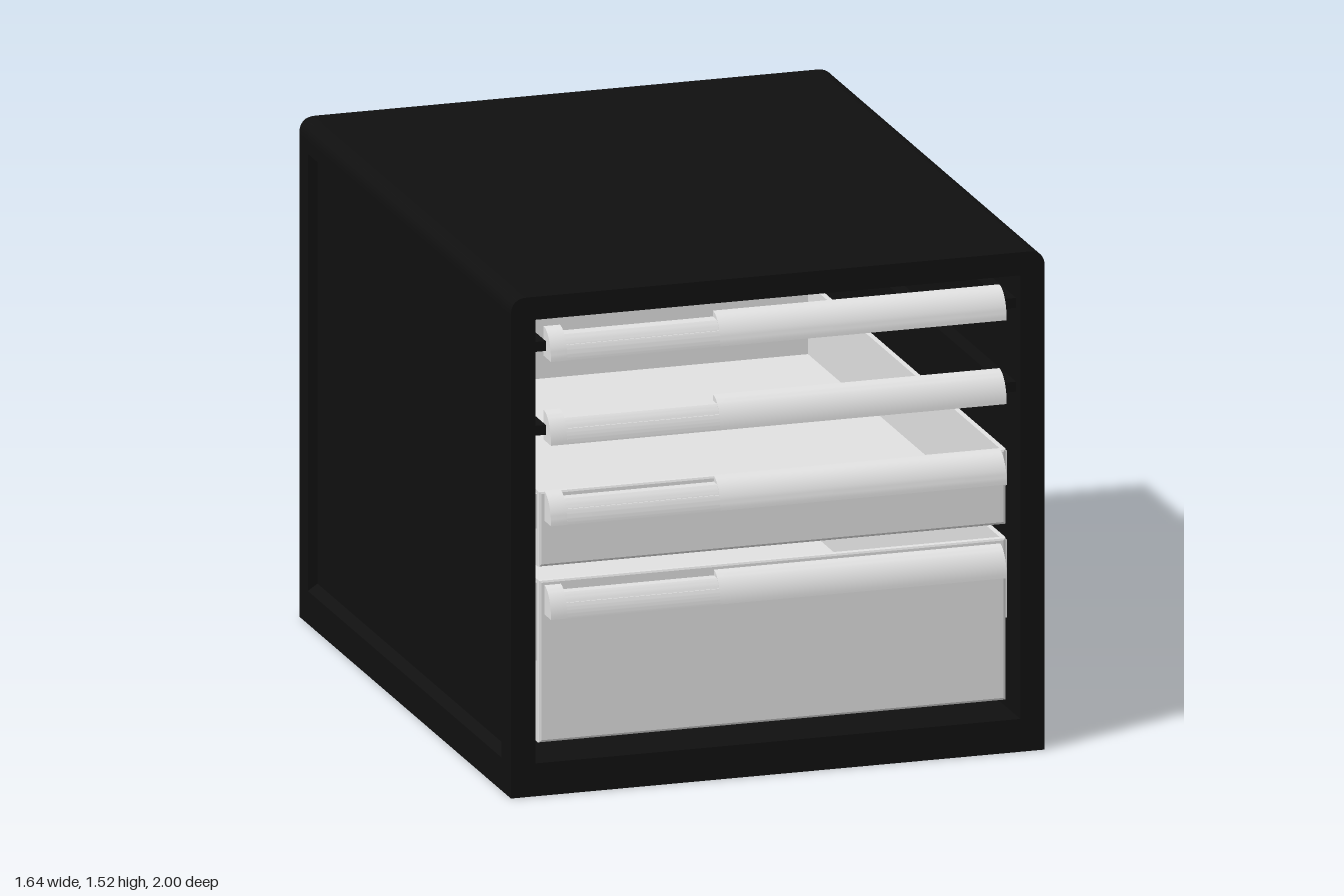
import * as THREE from 'three';
import { toCreasedNormals } from 'three/addons/utils/BufferGeometryUtils.js';

export function createModel() {
  const model = new THREE.Group();
  model.name = 'drawerCabinet';
  const black = new THREE.MeshStandardMaterial({ color: 0x101010, name: 'black' });
  const lightGrey = new THREE.MeshStandardMaterial({ color: 0xe2e2e2, name: 'lightGrey' });

  function add(parent, name, geometry, material) {
    const mesh = new THREE.Mesh(geometry, material);
    mesh.name = name;
    parent.add(mesh);
    return mesh;
  }
  // Box given by its lower and upper limits
  function box(parent, name, x0, x1, y0, y1, z0, z1, material) {
    const g = new THREE.BoxGeometry(x1 - x0, y1 - y0, z1 - z0);
    g.translate((x0 + x1) / 2, (y0 + y1) / 2, (z0 + z1) / 2);
    return add(parent, name, g, material);
  }
  function rectangle(path, x, y0, y1) {
    path.moveTo(-x, y0);
    path.lineTo(x, y0);
    path.lineTo(x, y1);
    path.lineTo(-x, y1);
    path.closePath();
    return path;
  }

  // Casing: rounded top corners, open front, recessed side panels
  const W = 0.82, H = 1.52, R = 0.05;
  function casing(name, z0, z1, inset, open) {
    const s = new THREE.Shape();
    s.moveTo(-W, 0);
    s.lineTo(W, 0);
    if (inset) {
      s.lineTo(W, 0.1);
      s.lineTo(W - inset, 0.12);
      s.lineTo(W - inset, 1.41);
      s.lineTo(W, 1.43);
    }
    s.lineTo(W, H - R);
    s.quadraticCurveTo(W, H, W - R, H);
    s.lineTo(-W + R, H);
    s.quadraticCurveTo(-W, H, -W, H - R);
    if (inset) {
      s.lineTo(-W, 1.43);
      s.lineTo(-W + inset, 1.41);
      s.lineTo(-W + inset, 0.12);
      s.lineTo(-W, 0.1);
    }
    s.closePath();
    if (open) s.holes.push(rectangle(new THREE.Path(), 0.745, 0.1, 1.45));
    const g = new THREE.ExtrudeGeometry(s, { depth: z1 - z0, bevelEnabled: false, curveSegments: 8 });
    g.translate(0, 0, z0);
    add(model, name, toCreasedNormals(g, 0.5), black);
  }
  casing('frontFrame', 0.9, 0.99, 0, true);
  casing('casingBody', -0.92, 0.9, 0.03, true);
  casing('backPanel', -1, -0.92, 0, false);

  // Quarter-round bar, cut off at the height "cut" above its lower edge
  function bar(parent, name, x0, x1, top, cut, shrink) {
    const h = 0.09, d = 0.07 - shrink;
    const s = new THREE.Shape();
    s.moveTo(0.93, 0);
    const n = 14, end = Math.asin(cut / h);
    for (let i = 0; i <= n; i++) {
      const a = end * i / n;
      s.lineTo(0.93 + d * Math.cos(a), h * Math.sin(a));
    }
    if (cut < h) s.lineTo(0.93, cut);
    s.closePath();
    const g = new THREE.ExtrudeGeometry(s, { depth: x1 - x0, bevelEnabled: false });
    g.rotateY(-Math.PI / 2);
    g.translate(x1, top - h, 0);
    add(parent, name, toCreasedNormals(g, 0.5), lightGrey);
  }

  // Handles with a notch above a sunken label strip
  function handle(top) {
    const group = new THREE.Group();
    group.name = 'handle';
    bar(group, 'handleLeftEnd', -0.7, -0.65, top, 0.09, 0);
    bar(group, 'handleLowerEdge', -0.65, -0.18, top, 0.045, 0);
    bar(group, 'labelStrip', -0.65, -0.18, top, 0.072, 0.004);
    bar(group, 'handleGrip', -0.18, 0.7, top, 0.09, 0);
    model.add(group);
  }
  [1.41, 1.155, 0.91, 0.625].forEach(handle);

  // Slim runners carrying the two upper handles
  for (const y of [1.34, 1.085])
    for (const side of [-1, 1])
      box(model, 'runner', side * 0.7225 - 0.0225, side * 0.7225 + 0.0225, y, y + 0.03, -0.92, 0.95, black);

  // Deep drawers: open trays with bevelled fronts
  function drawer(y0, y1) {
    const group = new THREE.Group();
    group.name = 'drawer';
    const b = 0.008;
    const s = rectangle(new THREE.Shape(), 0.718 - b, y0 + b, y1 - b);
    const g = new THREE.ExtrudeGeometry(s, { depth: 0.006, bevelThickness: b, bevelSize: b, bevelSegments: 2 });
    g.translate(0, 0, 0.925);
    add(group, 'drawerFront', g, lightGrey);
    box(group, 'drawerFloor', -0.71, 0.71, y0, y0 + 0.015, -0.88, 0.92, lightGrey);
    box(group, 'drawerBack', -0.71, 0.71, y0, y1, -0.89, -0.875, lightGrey);
    for (const side of [-1, 1]) {
      box(group, 'drawerSide', side * 0.71 - 0.008, side * 0.71 + 0.008, y0, y1, -0.89, 0.925, lightGrey);
      box(group, 'drawerRail', side * 0.72 - 0.005, side * 0.72 + 0.005, (y0 + y1) / 2, y1 - 0.01, -0.89, 0.925, lightGrey);
    }
    model.add(group);
  }
  drawer(0.68, 0.91);
  drawer(0.145, 0.64);

  return model;
}
